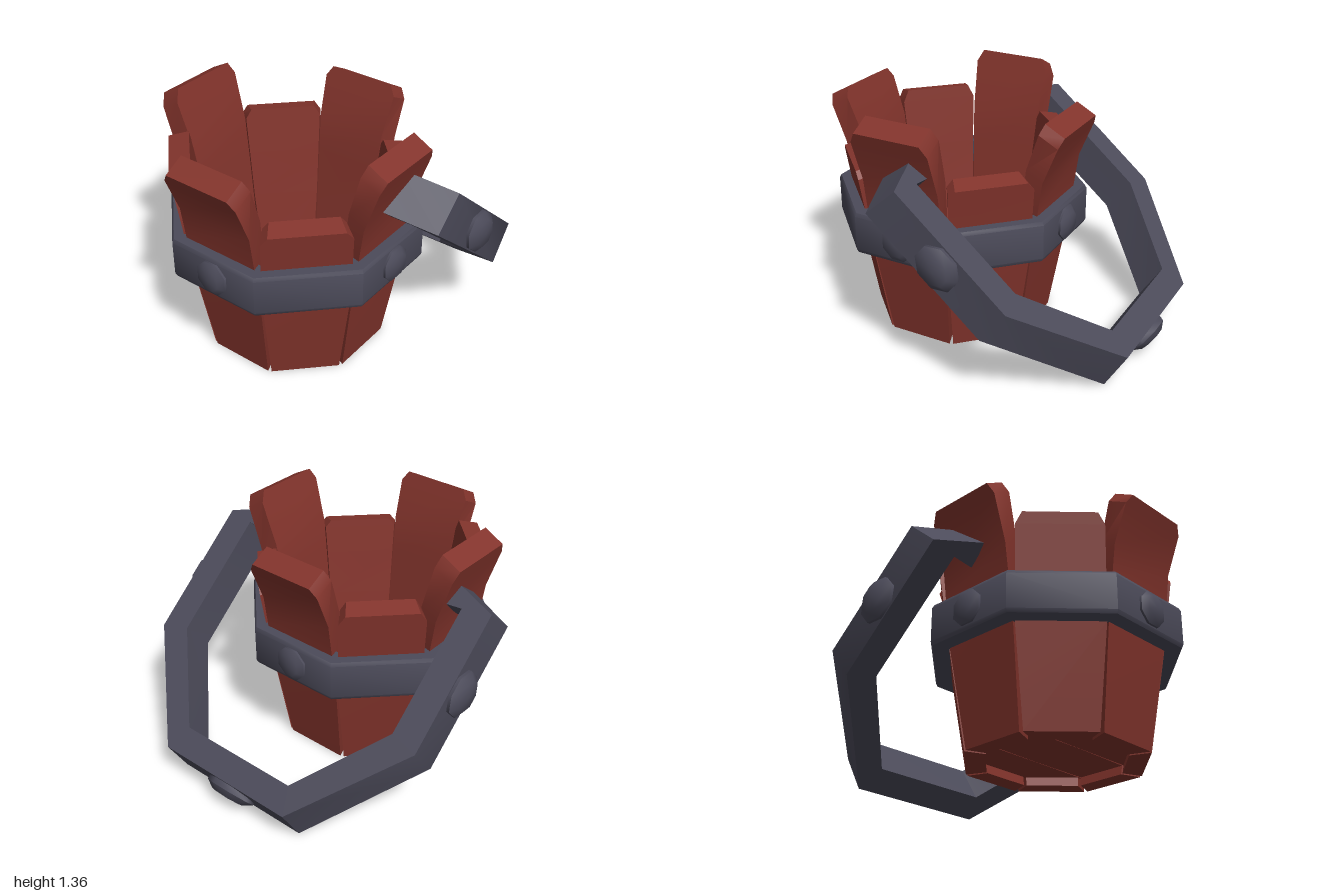
import * as THREE from 'three';
import { toCreasedNormals } from 'three/addons/utils/BufferGeometryUtils.js';

const wood = new THREE.MeshStandardMaterial({ color: 0x83342c });
wood.name = 'red wood';
const iron = new THREE.MeshStandardMaterial({ color: 0x4c4b5a });
iron.name = 'dark iron';

const TAN = Math.tan(Math.PI / 8);

function addMesh(parent, name, geometry, material, crease) {
  const mesh = new THREE.Mesh(toCreasedNormals(geometry, crease), material);
  mesh.name = name;
  parent.add(mesh);
  return mesh;
}

// Stave lofted upwards through rows of [outer radius, outer y, inner radius, inner y]
function staveGeometry(rows) {
  const tip = rows[rows.length - 1];
  const prev = rows[rows.length - 2];
  const shoulder = prev.map((v, i) => v + (tip[i] - v) * 0.8);
  const all = [...rows.slice(0, -1), shoulder, tip];
  const pos = [];
  const index = [];
  all.forEach(([ro, yo, ri, yi], k) => {
    const cut = k === all.length - 1 ? 0.035 : k === 0 ? 0.006 : 0;
    const ho = Math.min(0.23, ro * TAN - 0.005) - cut;
    const hi = Math.min(0.23, ri * TAN - 0.003) - cut;
    pos.push(-ho, yo, ro, ho, yo, ro, hi, yi, ri, -hi, yi, ri);
    if (k === 0) return;
    const a = (k - 1) * 4;
    for (let i = 0; i < 4; i++) {
      const j = (i + 1) % 4;
      index.push(a + i, a + j, a + 4 + j, a + i, a + 4 + j, a + 4 + i);
    }
  });
  const t = (all.length - 1) * 4;
  index.push(0, 2, 1, 0, 3, 2, t, t + 1, t + 2, t, t + 2, t + 3);
  const g = new THREE.BufferGeometry();
  g.setAttribute('position', new THREE.Float32BufferAttribute(pos, 3));
  g.setIndex(index);
  return g;
}

// Eight-sided domed rivet pointing along +z
function rivetGeometry(r, h) {
  const profile = [[r, -0.03], [r, h * 0.3], [r * 0.65, h * 0.88], [0, h]];
  return new THREE.LatheGeometry(profile.map(p => new THREE.Vector2(...p)), 8, Math.PI / 8)
    .rotateX(Math.PI / 2);
}

function buildTub() {
  const tub = new THREE.Group();
  tub.name = 'tub';
  tub.position.x = -0.275;

  // Staves, counted from the front round towards +x
  const heights = [1.34, 1.03, 1.3, 1.08, 1.36, 1.16, 1.3, 1.02];
  const base = [[0.475, 0, 0.365, 0], [0.565, 0.55, 0.455, 0.55], [0.6, 0.8, 0.49, 0.82]];
  heights.forEach((T, i) => {
    const flared = i % 2 === 0;
    const top = flared
      ? [[0.625, 0.98, 0.52, 1.03], [0.73, T - 0.06, 0.618, T]]
      : [[0.6 + (T - 0.8) * 0.13, T - 0.025, 0.49 + (T - 0.8) * 0.13, T]];
    const stave = addMesh(tub, flared ? 'tallStave' : 'shortStave',
      staveGeometry([...base, ...top]), wood, 0.6);
    stave.rotation.y = i * Math.PI / 4;
  });

  // Floor boards
  const R = 0.385, c = R * TAN;
  const boards = {
    middleFloorBoard: [[-0.146, -R], [0.146, -R], [0.152, 0], [0.146, R], [-0.146, R], [-0.152, 0]],
    leftFloorBoard: [[0.154, -R], [c, -R], [R, -c], [R, c], [c, R], [0.154, R]],
    rightFloorBoard: [[-0.154, R], [-c, R], [-R, c], [-R, -c], [-c, -R], [-0.154, -R]],
  };
  for (const [name, pts] of Object.entries(boards)) {
    const shape = new THREE.Shape(pts.map(p => new THREE.Vector2(...p)));
    const g = new THREE.ExtrudeGeometry(shape, { depth: 0.05, bevelEnabled: false });
    addMesh(tub, name, g.rotateX(-Math.PI / 2), wood, 0.6).position.y = 0.05;
  }

  // Iron hoop with four rivets
  const k = 1 / Math.cos(Math.PI / 8);
  const ring = [[0.65, 0.55], [0.66, 0.57], [0.66, 0.765], [0.65, 0.785], [0.55, 0.785], [0.55, 0.55], [0.65, 0.55]]
    .map(([r, y]) => new THREE.Vector2(r * k, y));
  addMesh(tub, 'hoop', new THREE.LatheGeometry(ring, 8, Math.PI / 8), iron, 0.85);
  for (let i = 0; i < 4; i++) {
    const holder = new THREE.Group();
    holder.name = 'hoopRivet';
    holder.rotation.y = i * Math.PI / 2;
    addMesh(holder, 'rivet', rivetGeometry(0.1, 0.04), iron, 0.85).position.set(0, 0.67, 0.66);
    tub.add(holder);
  }
  return tub;
}

// Handle drawn flat (x along its length, y across), then tilted down to +x
function buildHandle() {
  const handle = new THREE.Group();
  handle.name = 'handle';
  const half = [[0, 0.62], [0.11, 0.915], [0.93, 0.915], [1.535, 0.43]];
  const inner = [[1.38, 0.37], [0.885, 0.75], [0.14, 0.75], [0.15, 0.62]];
  const flip = pts => pts.map(([x, y]) => [x, -y]).reverse();
  const outline = [...half, ...flip(half), ...flip(inner), ...inner];
  const shape = new THREE.Shape(outline.map(p => new THREE.Vector2(...p)));
  const g = new THREE.ExtrudeGeometry(shape, { depth: 0.234, bevelEnabled: false });
  g.translate(0, 0, -0.117);
  // Slight taper so that the lower edge is longer
  const p = g.attributes.position;
  for (let i = 0; i < p.count; i++) {
    p.setX(i, 0.77 + (p.getX(i) - 0.77) * (1 + 0.22 * p.getZ(i)));
  }
  addMesh(handle, 'handleBar', g, iron, 0.85);

  // Handle rivets
  for (const s of [1, -1]) {
    const side = addMesh(handle, 'sideRivet', rivetGeometry(0.13, 0.055), iron, 0.85);
    side.scale.y = 0.9;
    side.rotation.x = -s * Math.PI / 2;
    side.position.set(0.535, s * 0.915, 0);
  }
  const end = addMesh(handle, 'endRivet', rivetGeometry(0.13, 0.055), iron, 0.85);
  end.scale.set(0.8, 1.2, 1);
  end.rotation.y = Math.PI / 2;
  end.position.set(1.535, 0, 0);

  handle.rotation.order = 'ZYX';
  handle.rotation.set(Math.PI / 2, 0, -0.704);
  handle.position.set(-0.28, 1.105, 0);
  return handle;
}

export function createModel() {
  const model = new THREE.Group();
  model.name = 'bucket';
  model.add(buildTub(), buildHandle());
  return model;
}
